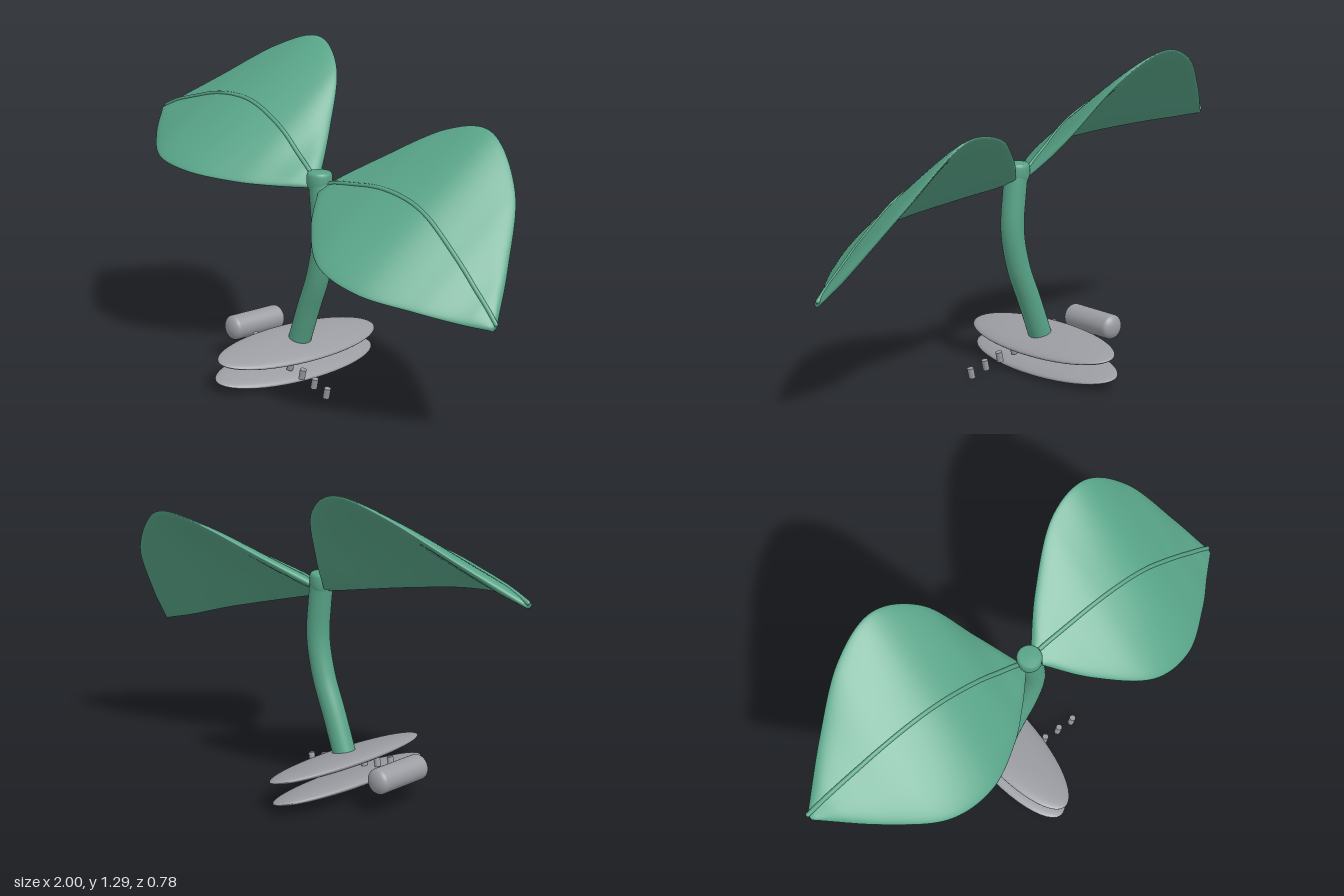
import * as THREE from 'three';

const green = new THREE.MeshStandardMaterial({ color: 0x58a488 });
green.name = 'leaf green';
const grey = new THREE.MeshStandardMaterial({ color: 0x9a9ca2 });
grey.name = 'stone grey';

const TILT = -0.23; // slope of the base
const v = (x, y, z = 0) => new THREE.Vector3(x, y, z);

function add(parent, name, geometry, material) {
  const mesh = new THREE.Mesh(geometry, material);
  mesh.name = name;
  parent.add(mesh);
  return mesh;
}

// Leaf blade ruled between a front and a back edge; rows are [x, frontZ, frontY, backZ, backY]
function makeLeaf(name, rows) {
  const group = new THREE.Group();
  group.name = name;
  const spline = (pts) => new THREE.CatmullRomCurve3(pts, false, 'catmullrom', 0.5);
  const front = spline(rows.map((r) => v(r[0], r[2], r[1])));
  const back = spline(rows.map((r) => v(r[0], r[4], r[3])));
  const up = v(0, 0.82, 0.57);
  const N = 60, M = 40, pos = [], index = [], rib = [];

  for (let i = 0; i <= N; i++) {
    const f = front.getPoint(i / N), b = back.getPoint(i / N);
    const mid = f.clone().lerp(b, 0.5), half = b.clone().sub(f).multiplyScalar(0.5);
    const thick = Math.min(0.019, 0.009 + half.length() * 0.1);
    for (let j = 0; j < M; j++) {
      const a = (j / M) * Math.PI * 2, c = Math.cos(a), s = Math.sin(a);
      const w = Math.sign(c) * Math.pow(Math.abs(c), 0.6);
      const p = mid.clone().addScaledVector(half, w).addScaledVector(up, s * thick);
      pos.push(p.x, p.y, p.z);
    }
    if (i % 4 === 0) {
      const k = f.z / (f.z - b.z);
      rib.push(v(f.x, THREE.MathUtils.lerp(f.y, b.y, k) + thick * 1.3, -0.008));
    }
  }
  for (let i = 0; i < N; i++) {
    for (let j = 0; j < M; j++) {
      const A = i * M + j, C = i * M + (j + 1) % M;
      index.push(A, C, A + M, C, C + M, A + M);
    }
  }
  // close both tips
  for (let j = 1; j < M - 1; j++) {
    index.push(0, j + 1, j, N * M, N * M + j, N * M + j + 1);
  }
  const blade = new THREE.BufferGeometry();
  blade.setAttribute('position', new THREE.Float32BufferAttribute(pos, 3));
  blade.setIndex(index);
  blade.computeVertexNormals();
  add(group, 'blade', blade, green);

  // raised midrib with rounded ends
  const curve = new THREE.CatmullRomCurve3(rib);
  add(group, 'midrib', new THREE.TubeGeometry(curve, 60, 0.009, 10), green);
  for (const end of [rib[0], rib[rib.length - 1]]) {
    add(group, 'midribEnd', new THREE.SphereGeometry(0.009, 10, 8), green).position.copy(end);
  }
  return group;
}

export function createModel() {
  const model = new THREE.Group();
  model.name = 'sprout';

  // leaves
  model.add(makeLeaf('rightLeaf', [
    [-0.995, 0.012, 0.945, -0.012, 0.95],
    [-0.8, 0.18, 0.9, -0.17, 1.1],
    [-0.6, 0.305, 0.857, -0.305, 1.24],
    [-0.4, 0.31, 0.832, -0.36, 1.295],
    [-0.22, 0.22, 0.812, -0.3, 1.19],
    [-0.1, 0.12, 0.803, -0.16, 0.98],
    [0, 0.02, 0.8, -0.02, 0.81],
  ]));
  model.add(makeLeaf('leftLeaf', [
    [0.055, 0.025, 0.79, -0.02, 0.81],
    [0.2, 0.18, 0.715, -0.17, 0.925],
    [0.4, 0.315, 0.635, -0.32, 1.05],
    [0.6, 0.305, 0.575, -0.36, 1.065],
    [0.78, 0.19, 0.53, -0.3, 0.885],
    [0.9, 0.085, 0.495, -0.15, 0.665],
    [0.985, 0.012, 0.478, -0.012, 0.49],
  ]));

  // curved stem and its flat-topped cap
  const path = new THREE.CatmullRomCurve3([
    v(-0.1, 0.13), v(-0.035, 0.3), v(0.025, 0.45), v(0.055, 0.6), v(0.045, 0.75), v(0.032, 0.85),
  ]);
  add(model, 'stem', new THREE.TubeGeometry(path, 48, 0.046, 28), green);
  const cap = [[0.044, 0.8], [0.05, 0.82], [0.05, 0.852], [0.046, 0.862], [0.04, 0.866], [0, 0.867]];
  add(model, 'stemCap', new THREE.LatheGeometry(cap.map((p) => new THREE.Vector2(...p)), 28), green)
    .position.set(0.032, 0, 0);

  // two flattened base discs
  for (const [name, x, y] of [['upperDisc', -0.1, 0.135], ['lowerDisc', -0.118, 0.052]]) {
    const disc = add(model, name, new THREE.SphereGeometry(1, 48, 32), grey);
    disc.scale.set(0.134, 0.028, 0.39);
    disc.rotation.z = TILT;
    disc.position.set(x, y, 0);
  }

  // row of little studs
  for (let i = 0; i < 7; i++) {
    const stud = add(model, 'stud', new THREE.CylinderGeometry(0.013, 0.013, 0.042, 14), grey);
    stud.rotation.z = TILT;
    stud.position.set(-0.255 + i * 0.0742, 0.135 - i * 0.0175, 0.094);
  }

  // roller with domed ends
  const profile = [];
  for (let i = 0; i <= 20; i++) {
    const a = -Math.PI / 2 + (i / 20) * Math.PI, s = Math.sin(a);
    const bulge = i === 10 ? 0 : Math.sign(s) * 0.105;
    profile.push(new THREE.Vector2(Math.max(0, 0.051 * Math.cos(a)), bulge + s * 0.03));
  }
  profile.splice(10, 1, new THREE.Vector2(0.051, -0.105), new THREE.Vector2(0.051, 0.105));
  const roller = add(model, 'roller', new THREE.LatheGeometry(profile, 32), grey);
  roller.rotation.x = Math.PI / 2;
  roller.position.set(-0.384, 0.147, 0);

  return model;
}
